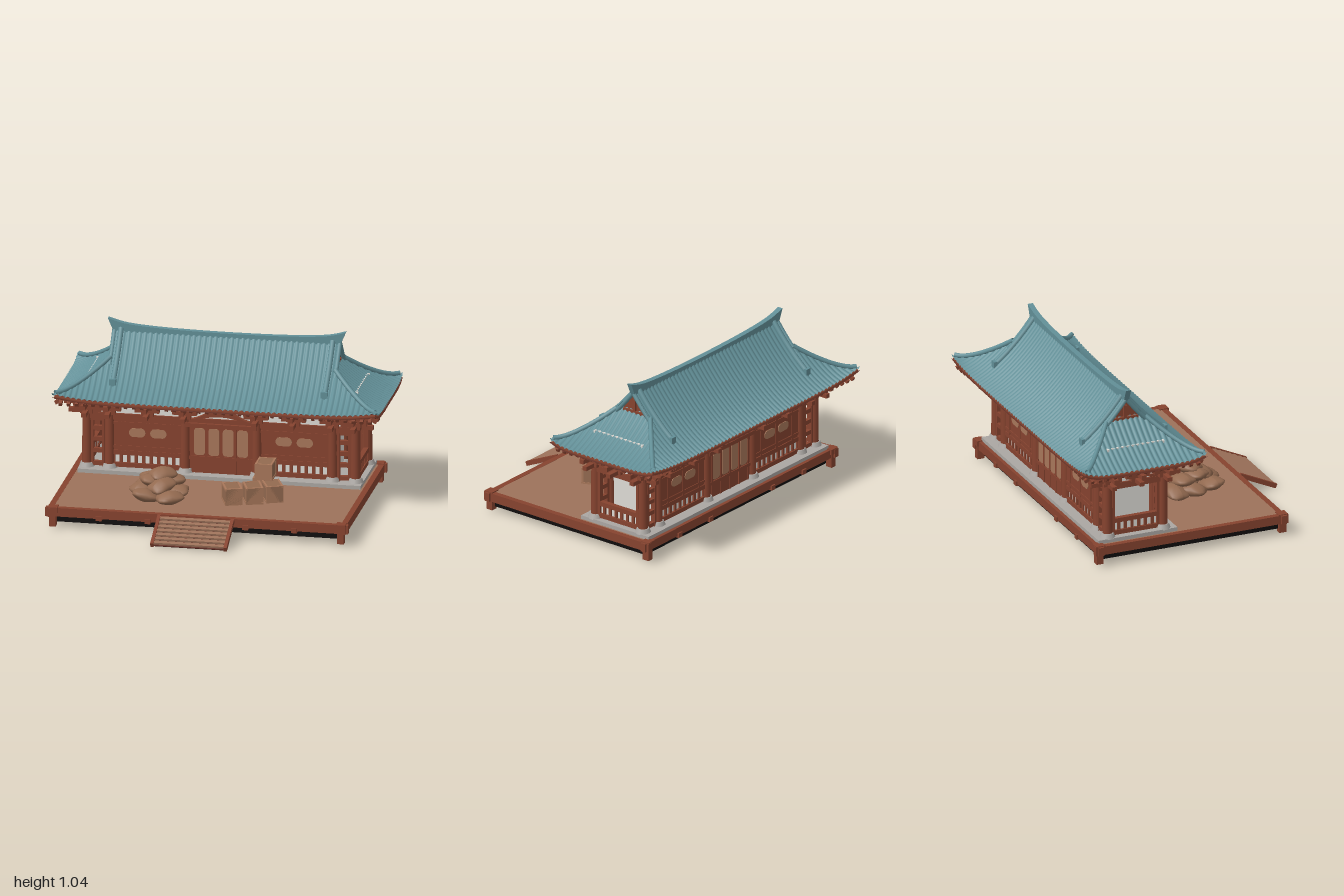
import * as THREE from 'three';

const mat = (name, color, side = THREE.FrontSide) => {
  const m = new THREE.MeshStandardMaterial({ color, side });
  m.name = name;
  return m;
};
const M = {
  tile: mat('teal roof tile', 0x628f97, THREE.DoubleSide),
  red: mat('red painted timber', 0x86432f),
  soffit: mat('dark red timber', 0x5e2c22, THREE.DoubleSide),
  deck: mat('deck wood', 0x9d725a),
  tan: mat('paper panel', 0xa8775a),
  white: mat('plaster', 0xdcdad4),
  stone: mat('stone', 0xaaa6a2),
  black: mat('black underside', 0x100d0d),
  sack: mat('sackcloth', 0x936a50),
};

const add = (g, name, geo, m, x = 0, y = 0, z = 0) => {
  const mesh = new THREE.Mesh(geo, m);
  mesh.name = name;
  mesh.position.set(x, y, z);
  g.add(mesh);
  return mesh;
};
const box = (g, name, m, w, h, d, x, y, z) => add(g, name, new THREE.BoxGeometry(w, h, d), m, x, y, z);
const tube = (g, name, m, r, pts, sides = 8) => add(g, name, new THREE.TubeGeometry(
  new THREE.CatmullRomCurve3(pts), 28, r, sides), m);

// Thin upright plate with rounded corners
function plate(g, name, m, w, h, r, x, y, z) {
  const s = new THREE.Shape(), a = w / 2 - r, b = h / 2 - r;
  s.absarc(a, b, r, 0, Math.PI / 2);
  s.absarc(-a, b, r, Math.PI / 2, Math.PI);
  s.absarc(-a, -b, r, Math.PI, Math.PI * 1.5);
  s.absarc(a, -b, r, Math.PI * 1.5, Math.PI * 2);
  return add(g, name, new THREE.ExtrudeGeometry(s, { depth: 0.006, bevelEnabled: false, curveSegments: 6 }), m, x, y, z);
}

// Surface grid from a rule (u, v) -> [x, y, z]
function grid(nu, nv, fn) {
  const pos = [], idx = [];
  for (let j = 0; j <= nv; j++) for (let i = 0; i <= nu; i++) pos.push(...fn(i / nu, j / nv));
  for (let j = 0; j < nv; j++) for (let i = 0; i < nu; i++) {
    const a = j * (nu + 1) + i, b = a + nu + 1;
    idx.push(a, a + 1, b, a + 1, b + 1, b);
  }
  const geo = new THREE.BufferGeometry();
  geo.setAttribute('position', new THREE.Float32BufferAttribute(pos, 3));
  geo.setIndex(idx);
  geo.computeVertexNormals();
  return geo;
}

// Roof rules, with z measured from the ridge line
const HIP = 0.31 / 0.27;
const slope = d => 0.62 + 0.44 * d + 1.1 * d * d;
const lift = (x, z) => 0.035 * Math.pow(Math.abs(x), 6) * Math.pow(Math.abs(z) / 0.4, 6);
const rib = t => 0.011 * Math.abs(Math.cos(Math.PI * t / 0.0333));
const frontRoof = (drop, ribs) => (u, v) => {
  const x = -1 + 2 * u, d = v * (Math.abs(x) <= 0.695 ? 0.4 : (1 - Math.abs(x)) / HIP);
  return [x, slope(d) + lift(x, 0.4 - d) - drop + ribs * rib(x), 0.4 - d];
};
const sideRoof = (drop, ribs) => (u, v) => {
  const z = 0.4 - 0.8 * u, d = v * Math.min(0.4 - Math.abs(z), 0.29), x = 1 - d * HIP;
  return [x, slope(d) + lift(x, z) - drop + ribs * rib(z), z];
};

function roofHalf(g) {
  add(g, 'frontRoofTiles', grid(360, 12, frontRoof(0, 1)), M.tile);
  add(g, 'sideRoofTiles', grid(144, 8, sideRoof(0, 1)), M.tile);
  add(g, 'frontSoffit', grid(60, 6, frontRoof(0.018, 0)), M.soffit);
  add(g, 'sideSoffit', grid(30, 6, sideRoof(0.018, 0)), M.soffit);
  const V = (x, y, z) => new THREE.Vector3(x, y, z), ts = [...Array(13).keys()].map(i => i / 12);
  tube(g, 'frontEaveBoard', M.red, 0.011, ts.map(t => V(-0.985 + 1.97 * t, 0.609 + lift(-0.985 + 1.97 * t, 0.4), 0.388)), 4);
  tube(g, 'sideEaveBoard', M.red, 0.011, ts.map(t => V(0.985, 0.609 + lift(1, 0.388 - 0.776 * t), 0.388 - 0.776 * t)), 4);
  for (const s of [-1, 1]) {
    // Descending ridges, verge edges and hips
    const run = (x, d0, d1, up) => ts.map(t => { const d = d0 + (d1 - d0) * t; return V(x, slope(d) + up, s * (0.4 - d)); });
    tube(g, 'descendingRidge', M.tile, 0.017, run(0.65, 0.13, 0.39, 0.018));
    box(g, 'ridgeEnd', M.tile, 0.04, 0.045, 0.02, 0.65, slope(0.13) + 0.018, s * 0.272);
    tube(g, 'vergeEdge', M.tile, 0.014, run(0.692, 0.24, 0.395, -0.004));
    tube(g, 'hipRidge', M.tile, 0.015, ts.map(t => {
      const d = 0.015 + 0.255 * t, x = 1 - d * HIP, z = 0.4 - d;
      return V(x, slope(d) + lift(x, z) + 0.014, s * z);
    }));
  }
  // Gable board with its framing
  const tri = new THREE.Shape([[-0.13, 0.80], [0.13, 0.80], [0.07, 0.87], [0, 0.955], [-0.07, 0.87]].map(p => new THREE.Vector2(...p)));
  const gable = add(g, 'gableBoard', new THREE.ExtrudeGeometry(tri, { depth: 0.02, bevelEnabled: false }), M.red, 0.65);
  gable.rotation.y = Math.PI / 2;
  box(g, 'gablePost', M.red, 0.02, 0.11, 0.018, 0.675, 0.865, 0);
  box(g, 'gableTie', M.red, 0.02, 0.018, 0.17, 0.675, 0.835, 0);
}

// Bracket stack over a column, arms reaching out along +z
function bracket(g, x, z) {
  box(g, 'bracketBlock', M.red, 0.075, 0.03, 0.07, x, 0.505, z);
  box(g, 'lowerBracketArm', M.red, 0.03, 0.026, 0.2, x, 0.5, z + 0.01);
  box(g, 'crossArm', M.red, 0.15, 0.024, 0.03, x, 0.53, z + 0.03);
  box(g, 'upperBracketArm', M.red, 0.03, 0.028, 0.24, x, 0.555, z + 0.02);
  box(g, 'outerCrossArm', M.red, 0.13, 0.022, 0.026, x, 0.572, z + 0.08);
  for (const s of [-1, 1]) box(g, 'bracketCup', M.red, 0.034, 0.024, 0.034, x + s * 0.06, 0.552, z + 0.04);
}

// Beams, plaster frieze and rafters for one face, facing +z
function upperWall(g, half, z, cols, eave, eaveHalf) {
  box(g, 'tieBeam', M.red, half * 2, 0.04, 0.036, 0, 0.475, z);
  box(g, 'friezePlaster', M.white, half * 2, 0.23, 0.012, 0, 0.605, z);
  box(g, 'wallPlate', M.red, half * 2 + 0.1, 0.026, 0.034, 0, 0.605, z + 0.008);
  box(g, 'eavePurlin', M.red, half * 2 + 0.2, 0.024, 0.026, 0, 0.594, z + 0.1);
  cols.forEach(x => bracket(g, x, z));
  const n = Math.round(eaveHalf * 2 / 0.05);
  for (let i = 1; i < n; i++) {
    const x = -eaveHalf + i * 2 * eaveHalf / n, L = Math.min(0.19, (eaveHalf - Math.abs(x)) * 0.9), d = L / 2 + 0.012;
    box(g, 'rafter', M.red, 0.02, 0.022, L * 1.12, x, slope(d) - 0.033, eave - d).rotation.x = 0.49;
  }
}

function balustrade(g, x0, x1, z) {
  const w = x1 - x0, c = (x0 + x1) / 2, n = Math.round(w / 0.045);
  for (const y of [0.17, 0.248]) box(g, 'rail', M.red, w, 0.028, 0.03, c, y, z);
  box(g, 'balustradePlaster', M.white, w, 0.07, 0.008, c, 0.208, z - 0.004);
  for (let i = 0; i <= n; i++) box(g, 'baluster', M.red, 0.018, 0.07, 0.02, x0 + w * i / n, 0.208, z);
}

// Front face and right end; turned half round it gives the other two
function buildingHalf() {
  const g = new THREE.Group(), z = 0.182;
  g.name = 'hallHalf';
  for (const x of [-0.825, -0.685, -0.22, 0.22, 0.685, 0.825]) {
    add(g, 'column', new THREE.CylinderGeometry(0.028, 0.031, 0.37, 14), M.red, x, 0.325, z);
    add(g, 'columnBase', new THREE.CylinderGeometry(0.038, 0.05, 0.03, 14), M.stone, x, 0.16, z);
  }
  upperWall(g, 0.84, z, [-0.825, -0.685, -0.45, -0.22, 0.22, 0.45, 0.685, 0.825], 0.4, 1);
  // Central doors
  box(g, 'doorWall', M.red, 0.42, 0.32, 0.02, 0, 0.305, z);
  box(g, 'doorLintel', M.red, 0.44, 0.025, 0.05, 0, 0.455, z + 0.01);
  for (const x of [-0.132, -0.044, 0.044, 0.132]) plate(g, 'doorPanel', M.tan, 0.066, 0.17, 0.018, x, 0.347, z + 0.008);
  for (const x of [-0.176, -0.088, 0, 0.088, 0.176]) box(g, 'doorStile', M.red, 0.012, 0.3, 0.03, x, 0.3, z);
  box(g, 'doorRail', M.red, 0.4, 0.02, 0.032, 0, 0.245, z);
  // Curved beam over the doors
  const arch = new THREE.Shape();
  arch.moveTo(-0.18, 0.495);
  arch.bezierCurveTo(-0.1, 0.51, -0.07, 0.565, 0, 0.565);
  arch.bezierCurveTo(0.07, 0.565, 0.1, 0.51, 0.18, 0.495);
  arch.lineTo(0.13, 0.495);
  arch.quadraticCurveTo(0, 0.54, -0.13, 0.495);
  add(g, 'archedBeam', new THREE.ExtrudeGeometry(arch, { depth: 0.03, bevelEnabled: false }), M.red, 0, 0, z + 0.01);
  for (const s of [-1, 1]) {
    // Side bays with oval windows
    box(g, 'bayWall', M.red, 0.44, 0.21, 0.02, s * 0.45, 0.355, z);
    for (const x of [0.385, 0.515]) {
      plate(g, 'ovalWindow', M.tan, 0.1, 0.055, 0.0265, s * x, 0.378, z + 0.008);
    }
    for (const x of [0.3, 0.45, 0.6]) box(g, 'bayStile', M.red, 0.016, 0.2, 0.03, s * x, 0.355, z);
    for (const y of [0.285, 0.435]) box(g, 'bayRail', M.red, 0.42, 0.016, 0.03, s * 0.45, y, z);
    balustrade(g, s > 0 ? 0.245 : -0.66, s > 0 ? 0.66 : -0.245, z);
    // Open lattice of the corner bays
    for (const x of [0.722, 0.79]) box(g, 'latticePost', M.red, 0.016, 0.32, 0.03, s * x, 0.31, z);
    for (const y of [0.17, 0.252, 0.325, 0.395, 0.455]) box(g, 'latticeBar', M.red, 0.13, 0.026, 0.026, s * 0.755, y, z);
  }
  // Right end
  const end = new THREE.Group();
  end.name = 'endWall';
  end.rotation.y = Math.PI / 2;
  g.add(end);
  upperWall(end, 0.185, 0.825, [-0.182, 0, 0.182], 1, 0.4);
  balustrade(end, -0.155, 0.155, 0.825);
  box(end, 'innerPlasterWall', M.white, 0.36, 0.36, 0.016, 0, 0.32, 0.68);
  for (const s of [-1, 1]) box(end, 'endPost', M.red, 0.016, 0.32, 0.03, s * 0.148, 0.31, 0.825);
  roofHalf(g);
  return g;
}

function platform(g) {
  box(g, 'deck', M.deck, 1.82, 0.024, 1.23, 0, 0.114, -0.06);
  box(g, 'stoneBase', M.stone, 1.74, 0.025, 0.52, 0, 0.137, -0.4);
  for (const z of [0.54, -0.665]) {
    box(g, 'edgeBeam', M.red, 1.86, 0.054, 0.035, 0, 0.1, z);
    box(g, 'blackSkirt', M.black, 1.76, 0.05, 0.1, 0, 0.055, z - Math.sign(z) * 0.07);
    for (const x of [-0.885, 0.885]) {
      box(g, 'cornerLeg', M.red, 0.04, 0.12, 0.045, x, 0.07, z);
      box(g, 'cornerCap', M.red, 0.06, 0.035, 0.06, x, 0.115, z);
    }
    for (const x of [-0.6, -0.3, 0.3, 0.6]) box(g, 'beamEnd', M.red, 0.035, 0.03, 0.055, x, 0.078, z);
  }
  for (const x of [-0.9, 0.9]) {
    box(g, 'sideEdgeBeam', M.red, 0.035, 0.054, 1.27, x, 0.1, -0.063);
    box(g, 'sideBlackSkirt', M.black, 0.1, 0.05, 1.1, x - Math.sign(x) * 0.07, 0.055, -0.063);
  }
  for (let i = 0; i < 13; i++) box(g, 'joist', M.soffit, 1.66, 0.03, 0.03, 0, 0.088, 0.42 - i * 0.08);
  for (const x of [-0.42, -0.32, 0.32, 0.42]) box(g, 'crossBeam', M.soffit, 0.035, 0.03, 1.1, x, 0.06, -0.063);
  // Sloping steps
  const steps = new THREE.Group();
  steps.name = 'steps';
  steps.position.set(-0.003, 0.062, 0.676);
  steps.rotation.x = 0.43;
  g.add(steps);
  for (const x of [-0.225, 0.225]) box(steps, 'stringer', M.red, 0.02, 0.028, 0.26, x, 0, 0);
  box(steps, 'stepBacking', M.soffit, 0.43, 0.006, 0.25, 0, -0.008, 0);
  for (let i = 0; i < 7; i++) box(steps, 'tread', M.deck, 0.435, 0.012, 0.026, 0, 0.004, -0.108 + i * 0.036).rotation.x = -0.2;
}

function cargo(g) {
  // Pillow-shaped sack
  const sack = new THREE.SphereGeometry(1, 20, 12), p = sack.attributes.position;
  for (let i = 0; i < p.count; i++) {
    const x = p.getX(i), z = p.getZ(i), c = Math.pow(Math.sin(2 * Math.atan2(z, x)), 2) * (x * x + z * z);
    p.setXYZ(i, x * (1 + 0.22 * c), p.getY(i) * (1 - 0.35 * c), z * (1 + 0.22 * c));
  }
  sack.computeVertexNormals();
  const spots = [[-0.39, 0.16, 0.06, 0.2], [-0.40, 0.16, 0.17, 0.9], [-0.36, 0.16, 0.31, 0.2], [-0.21, 0.16, 0.33, 0.5], [-0.2, 0.16, 0.21, 0.1],
    [-0.29, 0.16, 0.07, 0.6], [-0.35, 0.21, 0.12, 0.3], [-0.27, 0.215, 0.27, 0.9], [-0.23, 0.215, 0.16, 0.3], [-0.33, 0.225, 0.21, 0.5], [-0.28, 0.262, 0.19, 0.7]];
  spots.forEach(([x, y, z, r], i) => {
    const m = add(g, 'sack', sack, M.sack, x, y, z);
    m.scale.set(0.082, 0.042, 0.066);
    m.rotation.set(0.18 * Math.sin(i * 2.1), r, 0.2 * Math.cos(i * 1.7));
  });
  // Crates with corner battens and straps
  for (const [x, y, z, r] of [[0.155, 0.177, 0.235, 0.35], [0.275, 0.177, 0.195, 0.35], [0.385, 0.177, 0.14, 0.4], [0.3, 0.177, 0, 0], [0.32, 0.277, 0.03, 0]]) {
    const c = new THREE.Group();
    c.name = 'crate';
    c.position.set(x, y, z);
    c.rotation.y = r;
    g.add(c);
    box(c, 'crateBody', M.sack, 0.1, 0.1, 0.14, 0, 0, 0);
    for (const s of [-1, 1]) {
      box(c, 'strap', M.tan, 0.106, 0.106, 0.012, 0, 0, s * 0.064);
      for (const t of [-1, 1]) box(c, 'batten', M.tan, 0.012, 0.012, 0.144, s * 0.047, t * 0.047, 0);
    }
  }
}

export function createModel() {
  const g = new THREE.Group(), hall = new THREE.Group();
  g.name = 'hallOnPlatform';
  hall.name = 'hall';
  hall.position.z = -0.4;
  const half = buildingHalf(), other = half.clone();
  other.rotation.y = Math.PI;
  hall.add(half, other);
  // Main ridge with upswept ends
  const top = [[-0.73, 1.035], [-0.6, 1.004], [-0.35, 0.988], [0, 0.983], [0.35, 0.988], [0.6, 1.004], [0.73, 1.035]].map(q => new THREE.Vector2(...q));
  const s = new THREE.Shape();
  s.moveTo(0.69, 0.94);
  s.lineTo(-0.69, 0.94);
  s.lineTo(-0.73, 1.035);
  s.splineThru(top.slice(1));
  add(hall, 'mainRidge', new THREE.ExtrudeGeometry(s, { depth: 0.034, bevelEnabled: false }), M.tile, 0, 0, -0.017);
  g.add(hall);
  platform(g);
  cargo(g);
  return g;
}
